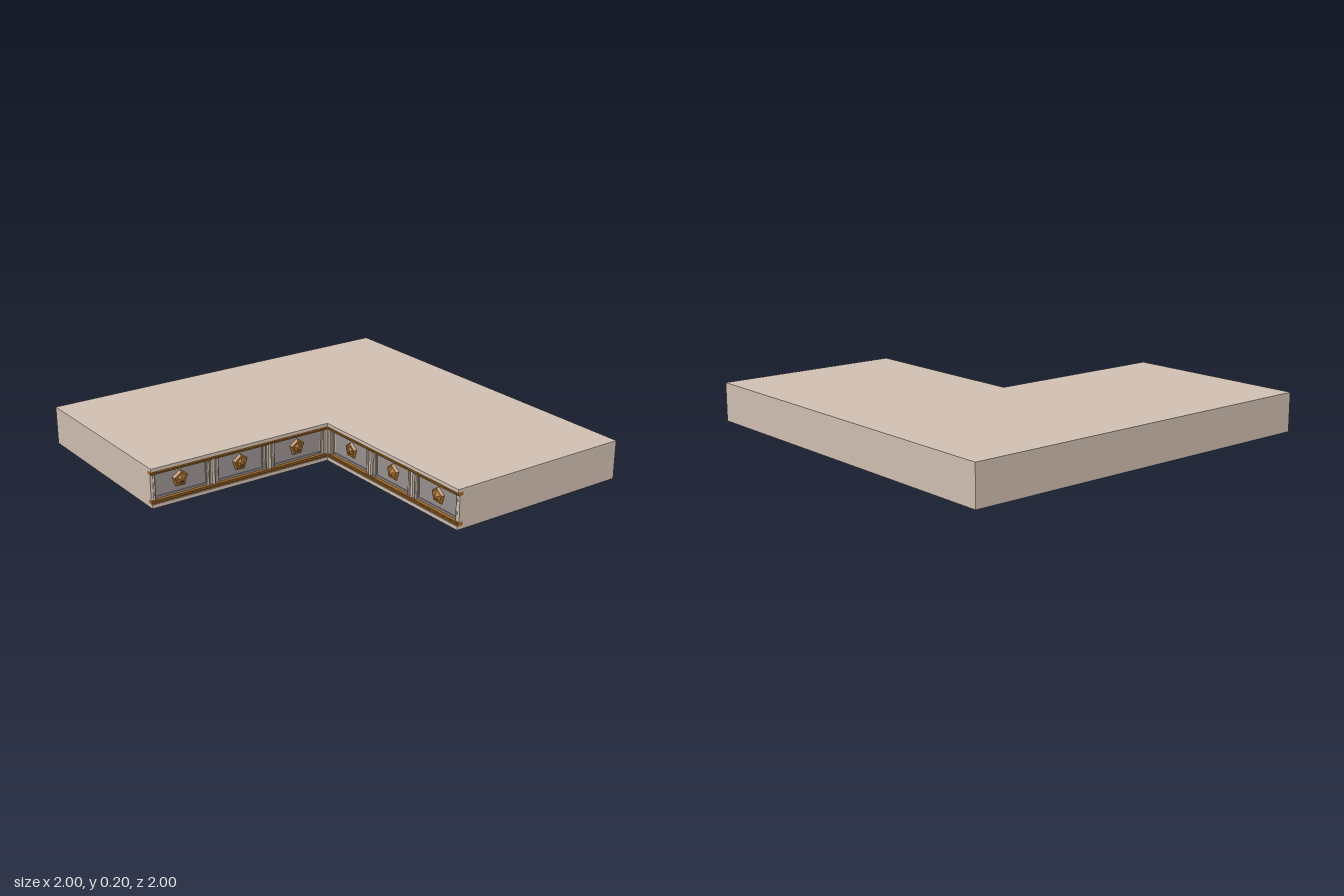
import * as THREE from 'three';

const stone = new THREE.MeshStandardMaterial({ color: 0xd2c1b3, flatShading: true });
const grey = new THREE.MeshStandardMaterial({ color: 0x9a9391, flatShading: true });
const gold = new THREE.MeshStandardMaterial({ color: 0xa0692a, flatShading: true });
const RECESS = 0.03;

function add(parent, name, geometry, material, x = 0, y = 0, z = 0) {
  const mesh = new THREE.Mesh(geometry, material);
  mesh.name = name;
  mesh.position.set(x, y, z);
  parent.add(mesh);
  return mesh;
}

// Box given by its lower and upper corners
function block(parent, name, material, x0, x1, y0, y1, z0, z1) {
  return add(parent, name, new THREE.BoxGeometry(x1 - x0, y1 - y0, z1 - z0), material,
    (x0 + x1) / 2, (y0 + y1) / 2, (z0 + z1) / 2);
}

// L-shaped layer whose inner corner lies at (c, c)
function layer(parent, name, y0, y1, c) {
  const points = [[-1, -1], [c, -1], [c, -c], [1, -c], [1, 1], [-1, 1]];
  const shape = new THREE.Shape(points.map(([x, y]) => new THREE.Vector2(x, y)));
  const geometry = new THREE.ExtrudeGeometry(shape, { depth: y1 - y0, bevelEnabled: false });
  geometry.rotateX(-Math.PI / 2);
  add(parent, name, geometry, stone, 0, y0, 0);
}

// Faceted five-sided boss with a raised centre
function emblem(parent, x) {
  const group = new THREE.Group();
  group.name = 'emblem';
  group.position.set(x, 0.104, -RECESS);
  for (const [name, top, bottom, depth, z] of [
    ['emblemBase', 0.035, 0.046, 0.014, 0.007],
    ['emblemCentre', 0.01, 0.024, 0.008, 0.018],
  ]) {
    const geometry = new THREE.CylinderGeometry(top, bottom, depth, 5);
    geometry.rotateX(Math.PI / 2);
    geometry.rotateZ(Math.PI);
    add(group, name, geometry, gold, 0, 0, z);
  }
  parent.add(group);
}

// Decorated wall running along x from 0 to 1 and facing +z
function frieze(name) {
  const wall = new THREE.Group();
  wall.name = name;

  // gilded mouldings above and below the recess
  for (const y of [0.027, 0.175]) {
    block(wall, 'moulding', gold, 0, 1, y - 0.009, y + 0.009, -RECESS, -0.003);
    const bead = new THREE.CylinderGeometry(0.006, 0.006, 1, 8);
    bead.rotateZ(Math.PI / 2);
    add(wall, 'bead', bead, gold, 0.5, y, -0.006);
  }

  // sunken panels with thin frames
  for (const [x0, x1] of [[0.03, 0.305], [0.375, 0.625], [0.695, 0.97]]) {
    block(wall, 'panel', grey, x0, x1, 0.036, 0.166, -RECESS, -RECESS + 0.002);
    for (const y of [0.036, 0.158])
      block(wall, 'panelRail', grey, x0, x1, y, y + 0.01, -RECESS, -0.022);
    emblem(wall, (x0 + x1) / 2);
  }

  // pilaster clusters between the panels
  for (const x of [0.34, 0.66]) {
    block(wall, 'pilasterBack', grey, x - 0.035, x + 0.035, 0.036, 0.166, -RECESS, -0.022);
    block(wall, 'pilaster', stone, x - 0.008, x + 0.008, 0.036, 0.166, -RECESS, -0.008);
    for (const dx of [-0.025, 0.025])
      add(wall, 'colonnette', new THREE.CylinderGeometry(0.008, 0.008, 0.13, 8), stone,
        x + dx, 0.101, -0.017);
  }

  // end pilasters
  for (const [x0, x1, cx] of [[0, 0.014, 0.022], [0.986, 1, 0.978]]) {
    block(wall, 'endPilaster', stone, x0, x1, 0.036, 0.166, -RECESS, -0.01);
    add(wall, 'endColonnette', new THREE.CylinderGeometry(0.008, 0.008, 0.13, 8), stone,
      cx, 0.101, -0.017);
  }
  return wall;
}

export function createModel() {
  const model = new THREE.Group();
  model.name = 'cornerPlatform';

  // slab: full lips at top and bottom, recessed core between them
  layer(model, 'bottomLip', 0, 0.018, 0);
  layer(model, 'core', 0.018, 0.184, -RECESS);
  layer(model, 'topLip', 0.184, 0.2, 0);

  // the two inner walls and the post where they meet
  model.add(frieze('backWall'));
  const side = frieze('sideWall');
  side.rotation.y = Math.PI / 2;
  side.position.z = 1;
  model.add(side);
  block(model, 'cornerPost', stone, -RECESS, 0, 0.018, 0.184, -RECESS, 0);
  return model;
}
